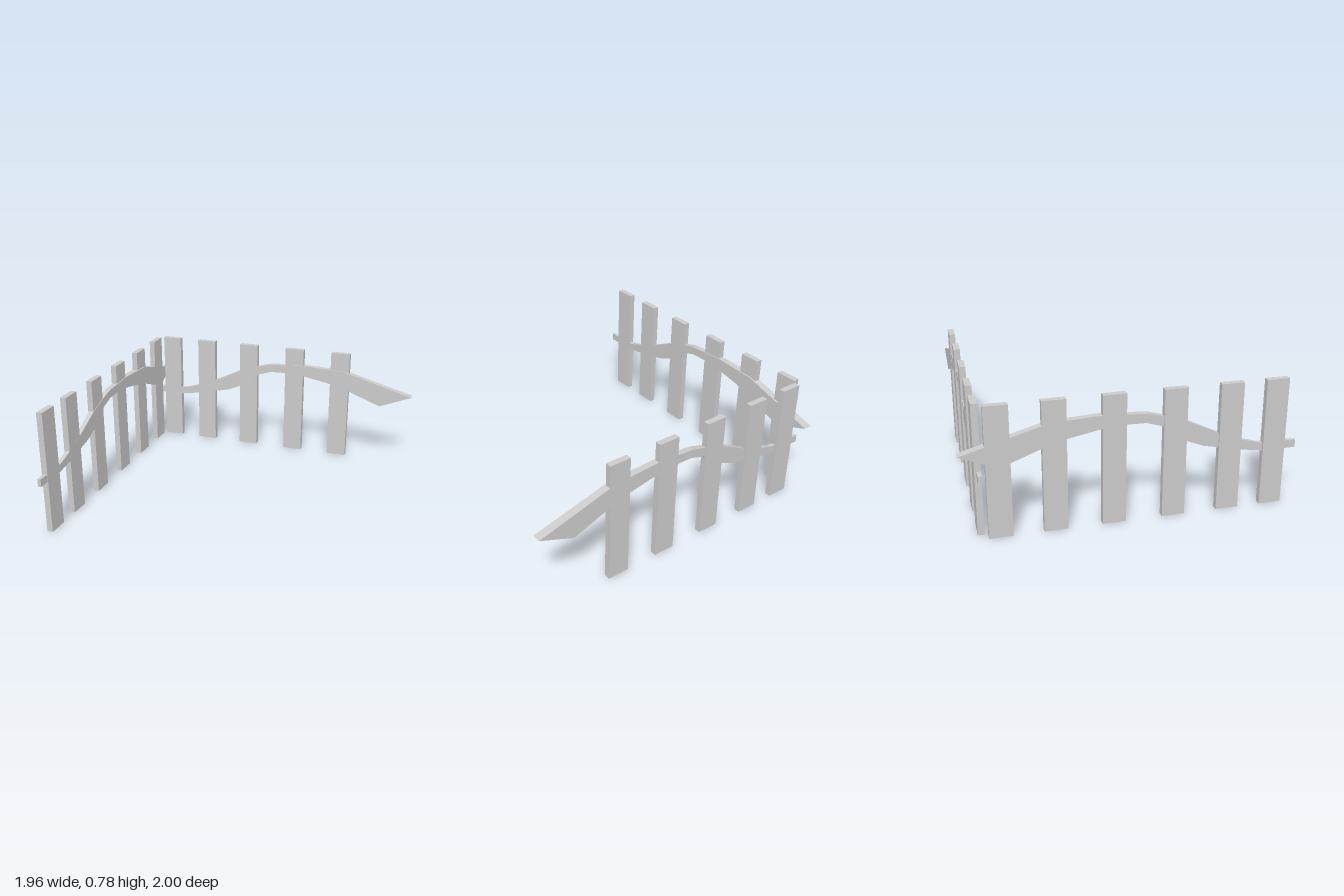
import * as THREE from 'three';

const material = new THREE.MeshStandardMaterial({ color: 0xcccccc, flatShading: true });

// Wavy rail outline: lower edge left to right, then upper edge back
const LOWER = [[-0.98, 0.34], [-0.78, 0.34], [-0.64, 0.363], [-0.4, 0.415], [-0.28, 0.465], [-0.18, 0.52],
  [-0.16, 0.56], [-0.06, 0.592], [0.05, 0.595], [0.19, 0.585], [0.38, 0.55], [0.52, 0.51], [0.76, 0.42]];
const UPPER = [[0.98, 0.51], [0.49, 0.648], [0.19, 0.663], [-0.07, 0.646], [-0.2, 0.61], [-0.3, 0.575],
  [-0.5, 0.478], [-0.64, 0.425], [-0.74, 0.395], [-0.82, 0.388], [-0.98, 0.388]];

function railGeometry() {
  const shape = new THREE.Shape([...LOWER, ...UPPER].map(([x, y]) => new THREE.Vector2(x, y)));
  const geometry = new THREE.ExtrudeGeometry(shape, { depth: 1, bevelEnabled: false });
  // The rail grows thicker toward its pointed end
  const p = geometry.attributes.position;
  for (let i = 0; i < p.count; i++) {
    const half = THREE.MathUtils.mapLinear(p.getX(i), -0.98, 0.98, 0.011, 0.027);
    p.setZ(i, 0.005 + (p.getZ(i) * 2 - 1) * half);
  }
  geometry.computeVertexNormals();
  return geometry;
}

function fencePanel(name, plankPositions) {
  const panel = new THREE.Group();
  panel.name = name;
  const rail = new THREE.Mesh(railGeometry(), material);
  rail.name = 'rail';
  panel.add(rail);
  const plankGeometry = new THREE.BoxGeometry(0.136, 0.78, 0.038);
  plankPositions.forEach((x, i) => {
    const plank = new THREE.Mesh(plankGeometry, material);
    plank.name = `plank${i + 1}`;
    plank.position.set(x, 0.39, 0);
    panel.add(plank);
  });
  return panel;
}

export function createModel() {
  const fence = new THREE.Group();
  fence.name = 'cornerFence';

  // Back run
  const back = fencePanel('backPanel', [-0.85, -0.57, -0.235, 0.117, 0.457]);
  back.position.set(0, 0, -0.915);
  back.rotation.y = 0.066;

  // Side run, meeting the back run at the corner
  const side = fencePanel('sidePanel', [-0.838, -0.563, -0.23, 0.122, 0.458, 0.768]);
  side.position.set(-0.888, 0, 0.018);
  side.rotation.y = Math.PI / 2 + 0.071;

  fence.add(back, side);
  return fence;
}
